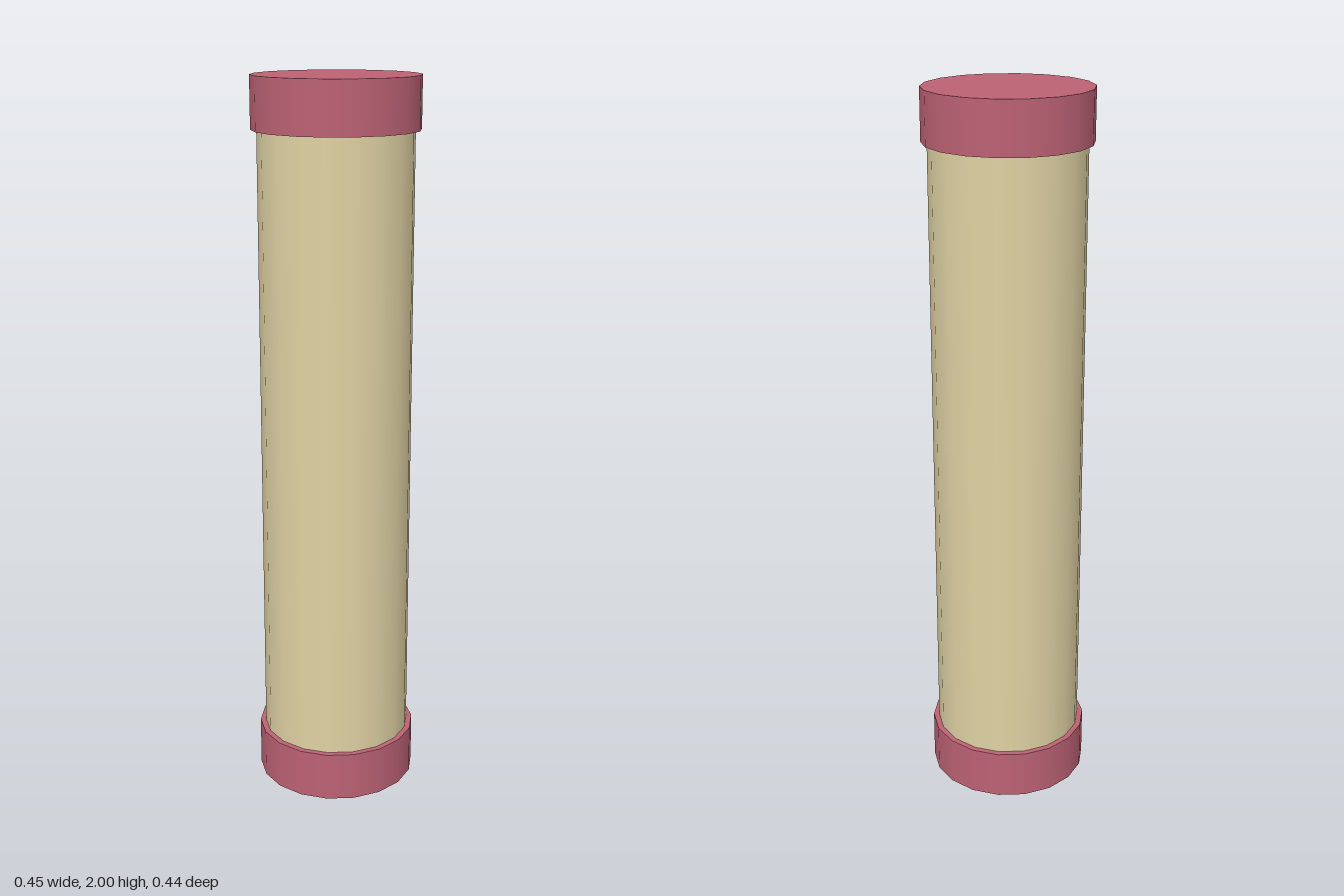
import * as THREE from 'three';

const SIDES = 18;
const CAP_HEIGHT = 0.14;

// Upright closed cylinder with a corner on the x axis
function drum(name, radius, height, y, material) {
  const geometry = new THREE.CylinderGeometry(radius, radius, height, SIDES, 1, false, Math.PI / 2);
  const mesh = new THREE.Mesh(geometry, material);
  mesh.name = name;
  mesh.position.y = y;
  return mesh;
}

export function createModel() {
  const group = new THREE.Group();
  group.name = 'cappedTube';
  const cream = new THREE.MeshStandardMaterial({ color: 0xe0d2a4 });
  const rose = new THREE.MeshStandardMaterial({ color: 0xbc6274 });

  // Long tube, its ends seated inside the caps
  group.add(drum('tube', 0.209, 2 - CAP_HEIGHT, 1, cream));

  // Slightly wider end caps
  group.add(drum('bottomCap', 0.225, CAP_HEIGHT, CAP_HEIGHT / 2, rose));
  group.add(drum('topCap', 0.225, CAP_HEIGHT, 2 - CAP_HEIGHT / 2, rose));

  return group;
}
